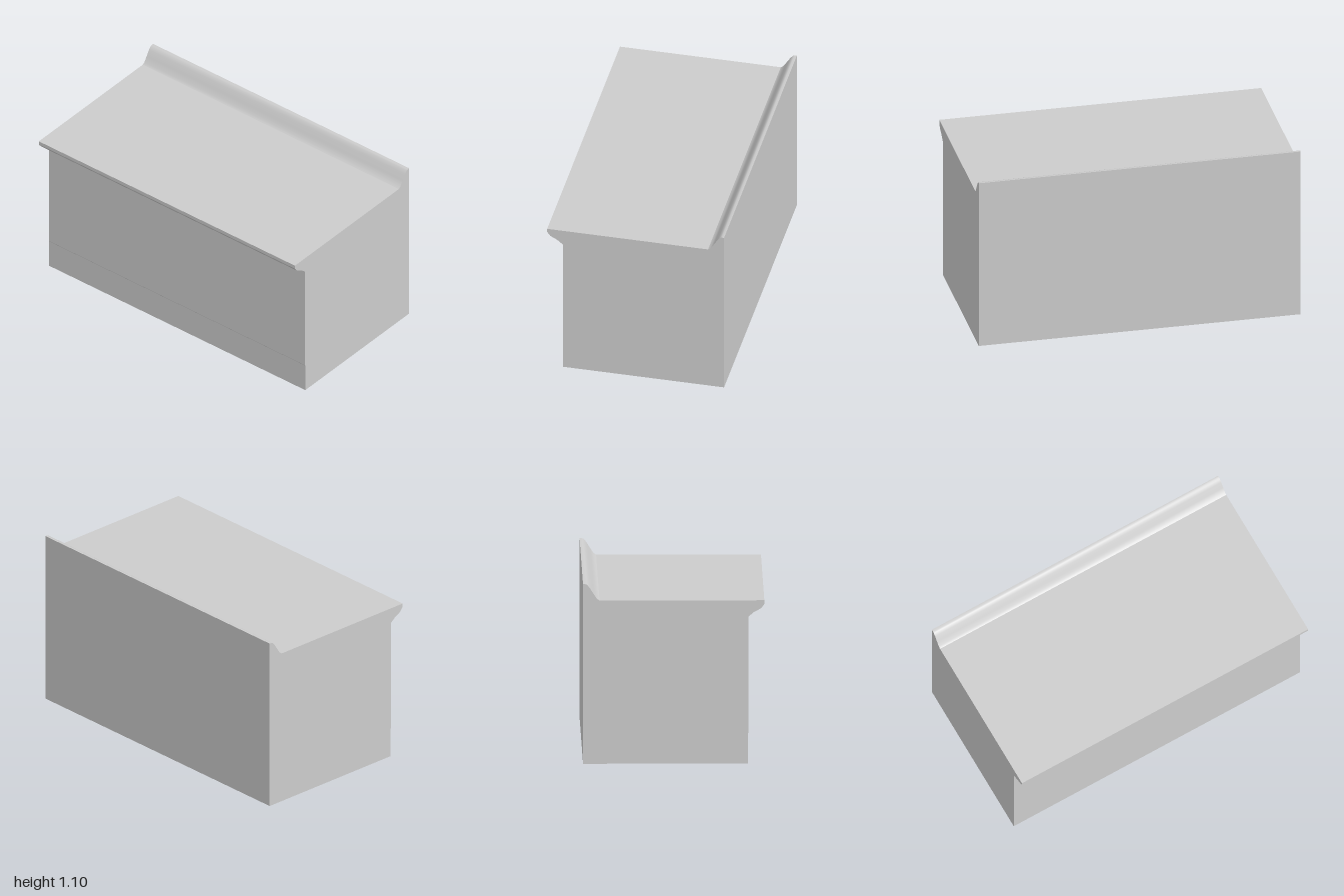
import * as THREE from 'three';
import { toCreasedNormals } from 'three/addons/utils/BufferGeometryUtils.js';

const WIDTH = 2;

export function createModel() {
  const model = new THREE.Group();
  model.name = 'counterBlock';
  const grey = new THREE.MeshStandardMaterial({ color: 0xcccccc });
  grey.name = 'light grey';

  // Side section as (z, y) points, anticlockwise from the bottom back
  const section = [
    [-0.55, 0], [0.45, 0], [0.45, 0.185], [0.453, 0.19], [0.453, 0.9],
    // moulded front lip
    [0.487, 0.928], [0.53, 0.951], [0.55, 0.977], [0.55, 1],
    // curved rise to the back ledge
    [-0.45, 1], [-0.465, 1.009], [-0.487, 1.042], [-0.51, 1.078],
    [-0.526, 1.096], [-0.535, 1.1], [-0.55, 1.1],
  ];
  const shape = new THREE.Shape(section.map(([z, y]) => new THREE.Vector2(z, y)));

  // Run the section across the full width, turned so its length lies on x
  const extruded = new THREE.ExtrudeGeometry(shape, { depth: WIDTH, bevelEnabled: false });
  extruded.translate(0, 0, -WIDTH / 2);
  extruded.rotateY(-Math.PI / 2);

  const counter = new THREE.Mesh(toCreasedNormals(extruded, 0.5), grey);
  counter.name = 'counterBody';
  model.add(counter);
  return model;
}
